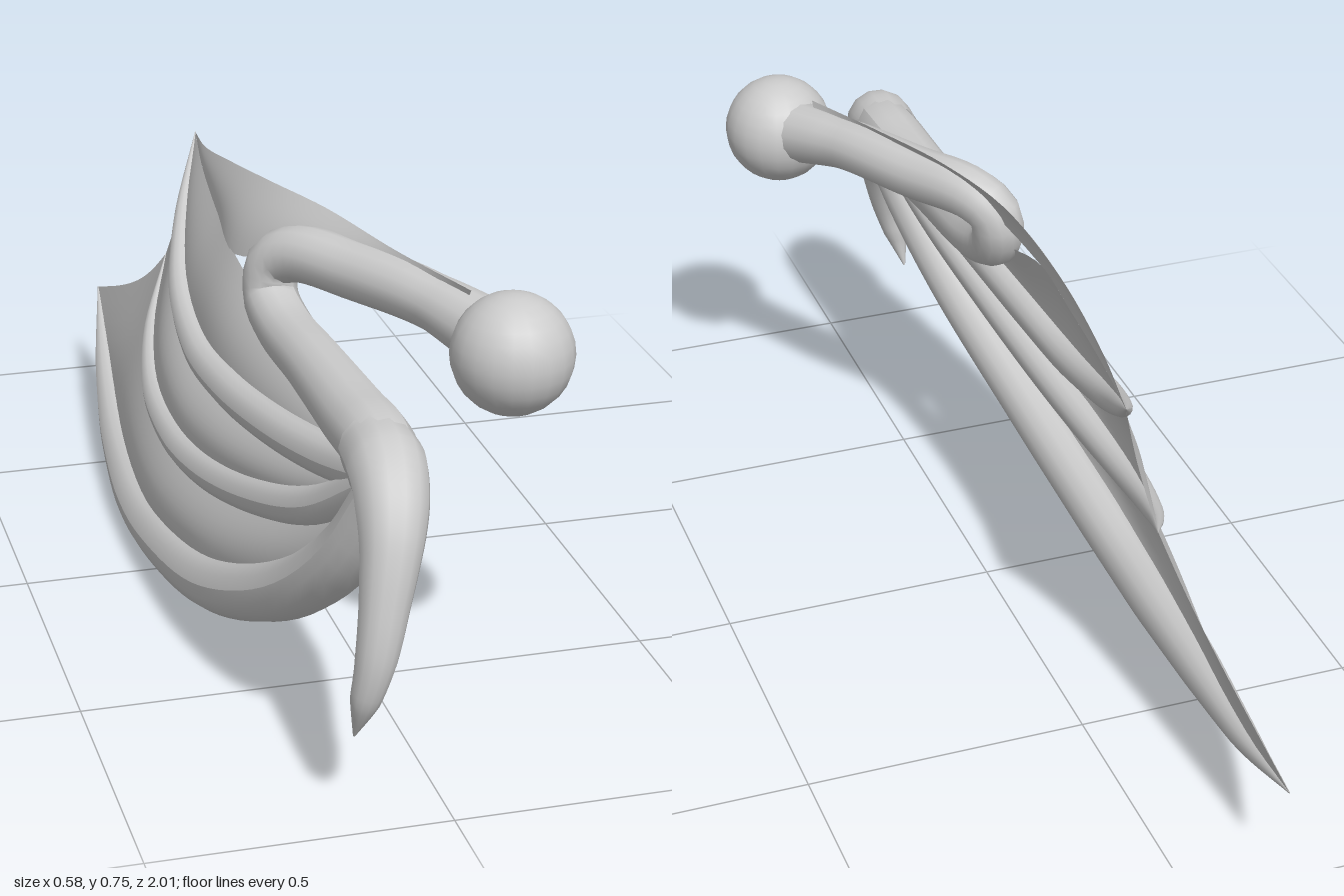
import * as THREE from 'three';

const V = ([x, y, z]) => new THREE.Vector3(x, y, z);
const curveOf = (pts) => new THREE.CatmullRomCurve3(pts.map(V), false, 'centripetal');

const material = new THREE.MeshStandardMaterial({ color: 0xcccccc });
const skin = new THREE.MeshStandardMaterial({ color: 0xcccccc, side: THREE.DoubleSide });

// Grid of points (rows x cols) turned into a smooth surface
function gridGeometry(rows, cols, pointAt) {
  const pos = [], index = [];
  for (let i = 0; i <= rows; i++)
    for (let j = 0; j <= cols; j++) pos.push(...pointAt(i / rows, j / cols).toArray());
  for (let i = 0; i < rows; i++)
    for (let j = 0; j < cols; j++) {
      const a = i * (cols + 1) + j, b = a + cols + 1;
      index.push(a, a + 1, b, b, a + 1, b + 1);
    }
  const g = new THREE.BufferGeometry();
  g.setAttribute('position', new THREE.Float32BufferAttribute(pos, 3));
  g.setIndex(index);
  g.computeVertexNormals();
  return g;
}

// Round limb whose radius follows a list of values along its path
function limb(name, pts, radii, segments = 36) {
  const curve = curveOf(pts);
  const frames = curve.computeFrenetFrames(segments, false);
  const geometry = gridGeometry(segments, 14, (u, v) => {
    const k = Math.round(u * segments);
    const f = u * (radii.length - 1);
    const i = Math.min(Math.floor(f), radii.length - 2);
    const r = THREE.MathUtils.lerp(radii[i], radii[i + 1], f - i);
    const a = v * Math.PI * 2;
    return curve.getPointAt(u)
      .addScaledVector(frames.normals[k], Math.cos(a) * r)
      .addScaledVector(frames.binormals[k], Math.sin(a) * r);
  });
  const mesh = new THREE.Mesh(geometry, skin);
  mesh.name = name;
  return mesh;
}

// Skin stretched between two curves, billowing outwards, with a hollow trailing edge
function membrane(name, upperPts, lowerPts, billow, scallop) {
  const upper = curveOf(upperPts), lower = curveOf(lowerPts);
  const geometry = gridGeometry(32, 12, (u, v) => {
    const p = upper.getPointAt(u).lerp(lower.getPointAt(u), v);
    const arch = Math.sin(Math.PI * v);
    p.x -= billow * arch * Math.sin(Math.PI * Math.min(u * 1.05, 1));
    p.z += scallop * arch * u ** 4;
    return p;
  });
  const mesh = new THREE.Mesh(geometry, skin);
  mesh.name = name;
  return mesh;
}

export function createModel() {
  const wing = new THREE.Group();
  wing.name = 'foldedWing';

  // Shoulder ball
  const shoulder = new THREE.Mesh(new THREE.SphereGeometry(0.102, 20, 14), material);
  shoulder.name = 'shoulder';
  shoulder.position.set(0.187, 0.648, 0.675);
  wing.add(shoulder);

  // Upper arm, elbow and forearm in one bent limb, ending in the wrist
  wing.add(limb('arm', [
    [0.17, 0.66, 0.63], [0.1, 0.682, 0.49], [0.02, 0.684, 0.34], [-0.05, 0.682, 0.23],
    [-0.082, 0.655, 0.19], [-0.09, 0.6, 0.195], [-0.085, 0.567, 0.27], [-0.075, 0.56, 0.45],
    [-0.068, 0.555, 0.65], [-0.064, 0.552, 0.8], [-0.075, 0.53, 0.87],
  ], [0.06, 0.048, 0.05, 0.05, 0.048, 0.05, 0.052, 0.056, 0.06, 0.055], 56));

  // Thumb claw hooking down from the wrist
  wing.add(limb('thumbClaw', [
    [-0.066, 0.552, 0.76], [-0.07, 0.54, 0.85], [-0.083, 0.48, 0.915], [-0.105, 0.38, 0.955],
    [-0.125, 0.28, 0.972], [-0.14, 0.21, 0.965], [-0.15, 0.145, 0.945],
  ], [0.06, 0.064, 0.058, 0.048, 0.04, 0.034, 0.025, 0.002]));

  // Three fingers sweeping back from the wrist
  const fingers = [
    [[-0.08, 0.53, 0.82], [-0.105, 0.49, 0.66], [-0.135, 0.455, 0.45], [-0.16, 0.43, 0.2],
      [-0.168, 0.43, 0], [-0.155, 0.475, -0.2], [-0.11, 0.56, -0.38], [-0.05, 0.66, -0.54]],
    [[-0.08, 0.52, 0.83], [-0.125, 0.41, 0.66], [-0.165, 0.335, 0.45], [-0.2, 0.28, 0.2],
      [-0.215, 0.265, 0], [-0.21, 0.28, -0.2], [-0.175, 0.33, -0.38], [-0.11, 0.412, -0.55]],
    [[-0.08, 0.51, 0.86], [-0.115, 0.39, 0.79], [-0.16, 0.26, 0.64], [-0.215, 0.13, 0.35],
      [-0.239, 0.063, 0], [-0.24, 0.05, -0.2], [-0.222, 0.068, -0.5], [-0.19, 0.115, -0.78], [-0.16, 0.182, -1]],
  ];
  const radii = [
    [0.035, 0.036, 0.036, 0.036, 0.034, 0.028, 0.018, 0.001],
    [0.035, 0.035, 0.035, 0.035, 0.034, 0.028, 0.018, 0.001],
    [0.05, 0.052, 0.052, 0.052, 0.051, 0.048, 0.038, 0.024, 0.001],
  ];
  ['upperFinger', 'middleFinger', 'lowerFinger'].forEach((name, i) => wing.add(limb(name, fingers[i], radii[i], 44)));

  // Skin between neighbouring fingers
  wing.add(membrane('upperFingerMembrane', fingers[0], fingers[1], 0.03, 0.02));
  wing.add(membrane('lowerFingerMembrane', fingers[1], fingers[2], 0.035, 0.06));

  // Skin from forearm and elbow down to the upper finger
  const rear = [[-0.115, 0.62, 0.04], [-0.1, 0.63, -0.15], [-0.075, 0.645, -0.38], [-0.05, 0.66, -0.54]];
  wing.add(membrane('forearmMembrane',
    [[-0.07, 0.55, 0.82], [-0.08, 0.56, 0.5], [-0.1, 0.58, 0.22], ...rear], fingers[0], 0.015, 0));

  // Skin from the upper arm up to the free top edge
  wing.add(membrane('topMembrane',
    [[0.14, 0.732, 0.6], [0.07, 0.742, 0.42], [0.005, 0.755, 0.22], [-0.045, 0.748, 0.04],
      [-0.068, 0.72, -0.17], [-0.068, 0.682, -0.38], [-0.05, 0.66, -0.54]],
    [[0.14, 0.68, 0.56], [0.06, 0.684, 0.41], [-0.06, 0.67, 0.2], ...rear], 0.01, 0));

  return wing;
}
